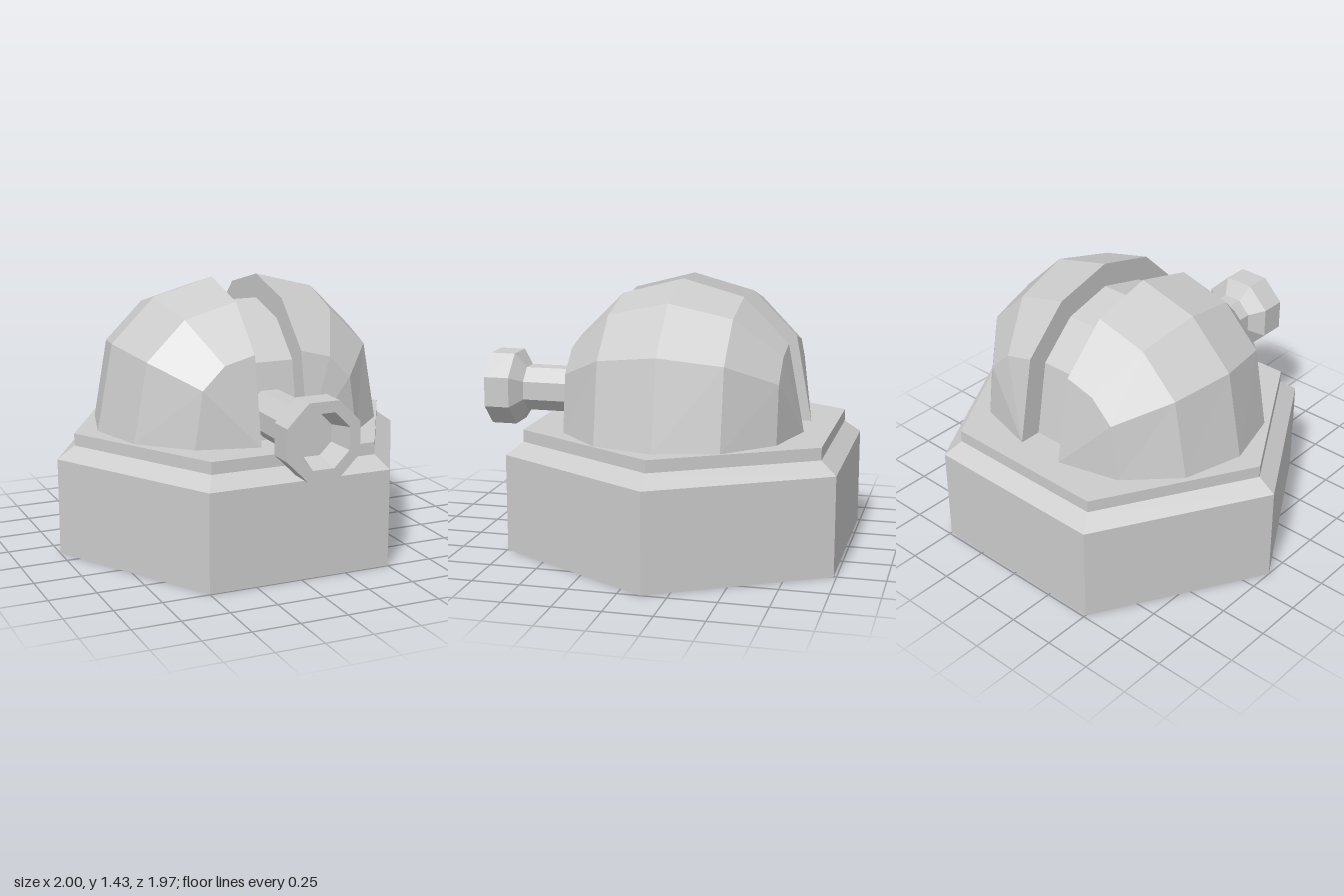
import * as THREE from 'three';

const HALF_GAP = 0.13;   // half width of the dome slot
const CENTRE_Y = 0.79;   // height of the dome's centre
const FLOOR_Y = 0.65;    // top of the base

const grey = new THREE.MeshStandardMaterial({ color: 0xcccccc, flatShading: true });
const greyThin = new THREE.MeshStandardMaterial({ color: 0xcccccc, flatShading: true, side: THREE.DoubleSide });

function add(parent, name, geometry, material = grey) {
  const mesh = new THREE.Mesh(geometry, material);
  mesh.name = name;
  parent.add(mesh);
  return mesh;
}

function lathe(profile, sides) {
  const points = profile.map(([r, y]) => new THREE.Vector2(r, y));
  return new THREE.LatheGeometry(points, sides, Math.PI / sides);
}

// Six-segment arch whose ends are dropped to the floor
function arch(rz, ry) {
  const points = [];
  for (let k = 0; k <= 6; k++) {
    const a = (Math.PI * k) / 6;
    const y = k % 6 === 0 ? FLOOR_Y : CENTRE_Y + ry * Math.sin(a);
    points.push(new THREE.Vector2(rz * Math.cos(a), y));
  }
  return points;
}

// Quarter sphere with its poles on z, its lower rim pulled down to the floor
function domeHalf(side) {
  const geo = new THREE.SphereGeometry(1, 3, 6, side > 0 ? Math.PI / 2 : 0, Math.PI / 2);
  geo.rotateX(-Math.PI / 2);
  geo.scale(0.655, 0.64, 0.645);
  geo.translate(side * HALF_GAP, CENTRE_Y, 0);
  const pos = geo.attributes.position;
  for (let i = 0; i < pos.count; i++) {
    if (pos.getY(i) < CENTRE_Y + 0.001) pos.setY(i, FLOOR_Y);
  }
  return geo;
}

export function createModel() {
  const model = new THREE.Group();
  model.name = 'domeTurret';

  // Hexagonal base with a bevelled step
  const base = add(model, 'base', lathe(
    [[0, 0], [1, 0], [1, 0.52], [0.905, 0.585], [0.905, FLOOR_Y], [0, FLOOR_Y]], 6));
  base.position.z = -0.12;

  // Split dome
  const dome = new THREE.Group();
  dome.name = 'dome';
  dome.position.set(0.01, 0, -0.12);
  model.add(dome);

  const wallShape = new THREE.Shape([...arch(0.645, 0.64), ...arch(0.525, 0.51).reverse()]);
  for (const side of [1, -1]) {
    const label = side > 0 ? 'left' : 'right';
    add(dome, label + 'DomeHalf', domeHalf(side), greyThin);
    const wall = new THREE.ShapeGeometry(wallShape);
    wall.rotateY(Math.PI / 2);
    wall.translate(side * HALF_GAP, 0, 0);
    add(dome, label + 'SlotWall', wall, greyThin);
  }

  // Recessed band between the halves
  const band = new THREE.ExtrudeGeometry(new THREE.Shape(arch(0.525, 0.51)),
    { depth: 2 * HALF_GAP, bevelEnabled: false });
  band.rotateY(Math.PI / 2);
  band.translate(-HALF_GAP, 0, 0);
  add(dome, 'slotBand', band);

  // Octagonal barrel with a flared, hollow muzzle
  const barrel = lathe([
    [0, 0.25], [0.128, 0.25], [0.128, 0.785], [0.212, 0.842], [0.212, 0.98],
    [0.15, 0.98], [0.114, 0.85], [0, 0.85],
  ], 8);
  barrel.rotateX(Math.PI / 2);
  add(model, 'barrel', barrel).position.set(-0.002, 0.783, 0);

  return model;
}
